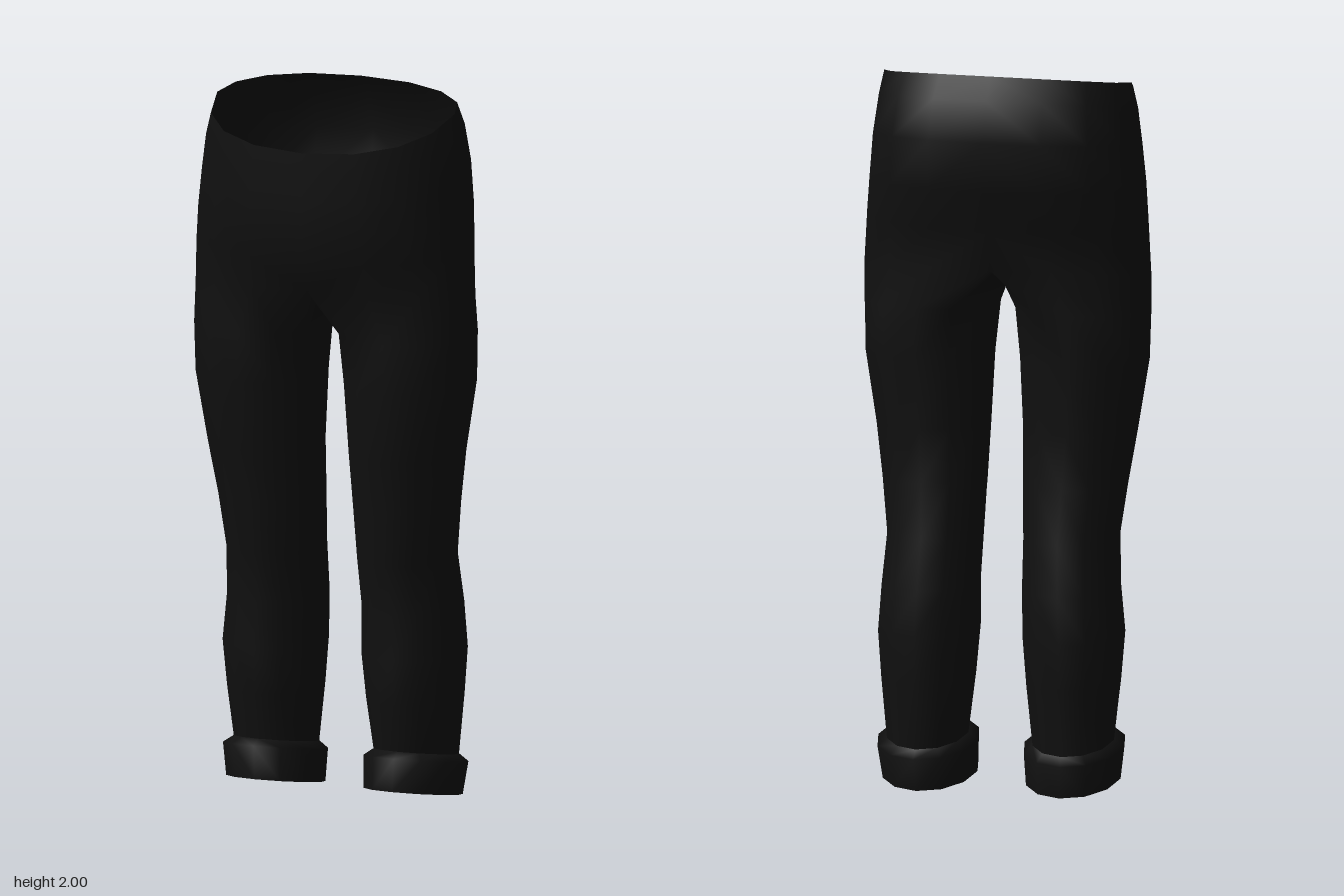
import * as THREE from 'three';
import { mergeVertices } from 'three/addons/utils/BufferGeometryUtils.js';

const ARC = 9;   // points of a half waist ring, front centre to back centre
const LEG = 12;  // points of a closed leg ring (the arc plus 3 inner-thigh points)

// Half waist ring: heights at front, side and back, half width, front z, back z
function waistRing([yf, ys, yb, w, zf, zb]) {
  const pts = [], zm = 0.01;
  for (let i = 0; i < ARC; i++) {
    const t = (i / (ARC - 1)) * Math.PI;
    const c = Math.cos(t), s = i === ARC - 1 ? 0 : Math.sin(t);
    const k = Math.pow(Math.abs(c), 0.9);
    const x = w * Math.pow(s, 0.9);
    const z = c > 0 ? zm + (zf - zm) * k : zm + (zb - zm) * k;
    const y = ys + ((c > 0 ? yf : yb) - ys) * Math.abs(c);
    pts.push([x, y, z]);
  }
  return pts;
}

// Closed leg ring: height, inner x, outer x, front z, back z, slope of y along z
function legRing([y, xi, xo, zf, zb, slope = 0]) {
  const pts = [];
  for (let i = 0; i < LEG; i++) {
    const a = ((i - 1) / LEG) * Math.PI * 2;
    const z = (zf + zb) / 2 + ((zf - zb) / 2) * Math.cos(a);
    pts.push([(xi + xo) / 2 + ((xo - xi) / 2) * Math.sin(a), y + slope * z, z]);
  }
  return pts;
}

// Quads between successive rings, from the top down
function loft(rings, closed, out) {
  for (let r = 0; r + 1 < rings.length; r++) {
    const u = rings[r], l = rings[r + 1], n = closed ? LEG : ARC - 1;
    for (let i = 0; i < n; i++) {
      const j = (i + 1) % u.length;
      out.push([u[i], l[i], u[j]], [u[j], l[i], l[j]]);
    }
  }
  return out;
}

// Triangles to smooth geometry for the given sides (+1 left, -1 right)
function toGeometry(tris, sides) {
  const pos = [];
  for (const s of sides) {
    for (const [a, b, c] of tris) {
      for (const p of s > 0 ? [a, b, c] : [a, c, b]) pos.push(p[0] * s, p[1], p[2]);
    }
  }
  const g = new THREE.BufferGeometry();
  g.setAttribute('position', new THREE.Float32BufferAttribute(pos, 3));
  const m = mergeVertices(g, 1e-4);
  m.computeVertexNormals();
  return m;
}

export function createModel() {
  const model = new THREE.Group();
  model.name = 'trousers';
  const cloth = new THREE.MeshStandardMaterial({ color: 0x101010, side: THREE.DoubleSide });
  cloth.name = 'black cloth';
  const add = (name, tris, sides) => {
    const mesh = new THREE.Mesh(toGeometry(tris, sides), cloth);
    mesh.name = name;
    model.add(mesh);
  };

  // Hips, from the open waist down to the crotch
  const hips = [
    [1.88, 1.965, 2.0, 0.35, 0.265, -0.175],
    [1.83, 1.9, 1.94, 0.365, 0.266, -0.225],
    [1.74, 1.8, 1.83, 0.378, 0.266, -0.264],
    [1.66, 1.68, 1.69, 0.39, 0.264, -0.253],
    [1.57, 1.58, 1.57, 0.398, 0.25, -0.21],
    [1.48, 1.43, 1.46, 0.406, 0.222, -0.185],
  ].map(waistRing);

  // The crotch seam closes the last hip ring into a leg opening
  const seam = [[0, 1.445, -0.1], [0, 1.44, 0.01], [0, 1.445, 0.12]];
  const opening = [...hips[hips.length - 1], ...seam];

  // Leg, thigh to ankle
  const leg = [
    [1.34, 0.02, 0.406, 0.2, -0.18],
    [1.2, 0.035, 0.402, 0.195, -0.18],
    [1.0, 0.045, 0.37, 0.165, -0.162],
    [0.85, 0.05, 0.347, 0.137, -0.172],
    [0.7, 0.058, 0.327, 0.125, -0.195],
    [0.56, 0.06, 0.337, 0.095, -0.217],
    [0.43, 0.062, 0.347, 0.11, -0.226],
    [0.3, 0.073, 0.337, 0.092, -0.217],
    [0.155, 0.092, 0.32, 0.07, -0.203, 0.2],
  ].map(legRing);

  const body = loft(hips, false, []);
  loft([opening, ...leg], true, body);
  add('hipsAndLegs', body, [1, -1]);

  // Turned-up cuff, flared and tilted down to the back
  const cuff = [
    leg[leg.length - 1],
    legRing([0.135, 0.066, 0.348, 0.102, -0.225, 0.2]),
    legRing([0.042, 0.07, 0.335, 0.105, -0.21, 0.2]),
  ];
  const hem = cuff[2];
  const centre = [0.2025, 0.0315, -0.0525];
  const sole = hem.map((p, i) => [p, centre, hem[(i + 1) % LEG]]);

  for (const [side, s] of [['left', 1], ['right', -1]]) {
    add(side + 'Cuff', loft(cuff, true, []), [s]);
    add(side + 'HemCap', sole, [s]);
  }
  return model;
}
